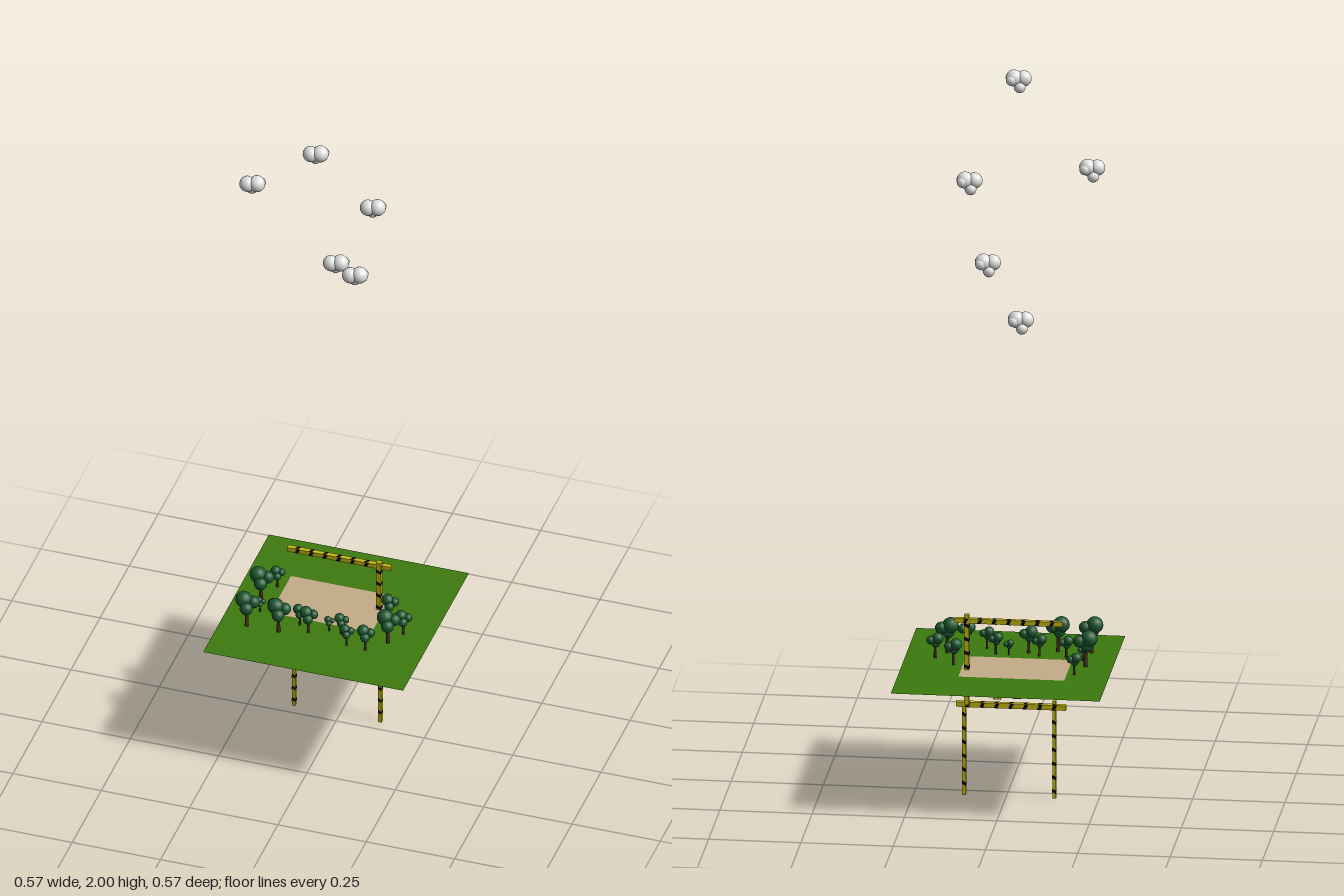
import * as THREE from 'three';

const mat = (name, color, side = THREE.FrontSide) => {
  const m = new THREE.MeshStandardMaterial({ color, side });
  m.name = name;
  return m;
};

export function createModel() {
  const model = new THREE.Group();
  model.name = 'floatingField';

  const grass = mat('grass green', 0x3c7a0e, THREE.DoubleSide);
  const sand = mat('sand', 0xc4ac8a, THREE.DoubleSide);
  const leaf = mat('leaf green', 0x1d5731);
  const bark = mat('bark brown', 0x46301a);
  const white = mat('cloud white', 0xe2e2e2);
  const yellow = mat('hazard yellow', 0xcabd12);
  const black = mat('hazard black', 0x0c0c0c, THREE.DoubleSide);
  const blue = mat('box blue', 0x6688cc);
  const grey = mat('pebble grey', 0x9a9a9a);

  const GROUND = 0.36;
  const add = (parent, name, geo, material, x = 0, y = 0, z = 0) => {
    const m = new THREE.Mesh(geo, material);
    m.name = name;
    m.position.set(x, y, z);
    parent.add(m);
    return m;
  };

  // Ground sheet and bare sand patch
  const flat = (w, d) => new THREE.PlaneGeometry(w, d).rotateX(-Math.PI / 2);
  add(model, 'lawn', flat(0.566, 0.566), grass, 0, GROUND, 0);
  add(model, 'sandPatch', flat(0.287, 0.177), sand, -0.0235, GROUND + 0.001, -0.0315);

  // Clusters of spheres, each lobe as [x, y, z, radius]
  const ball = new THREE.SphereGeometry(1, 14, 10);
  const cluster = (parent, name, lobes, material) => {
    for (const [x, y, z, r] of lobes) add(parent, name, ball, material, x, y, z).scale.setScalar(r);
  };

  // Trees: [x, z, crown radius]; everything scales with the crown
  const crown = [
    [-0.3, 2.45, -0.15, 0.7], [0.48, 2.25, -0.3, 0.52],
    [0.1, 2.0, 0.45, 0.54], [-0.1, 1.8, -0.1, 0.5],
  ];
  const trunk = new THREE.CylinderGeometry(0.12, 0.17, 2, 8);
  const trees = [
    [-0.187, -0.064, 0.02], [-0.209, 0.01, 0.033], [-0.196, 0.058, 0.014],
    [-0.148, 0.079, 0.02], [-0.21, 0.13, 0.033], [-0.12, 0.13, 0.032],
    [-0.075, 0.083, 0.02], [-0.043, 0.108, 0.025], [0.008, 0.084, 0.014],
    [0.044, 0.088, 0.02], [0.073, 0.132, 0.02], [0.128, 0.137, 0.024],
    [0.175, 0.086, 0.032], [0.202, 0.036, 0.023], [0.146, -0.018, 0.024],
  ];
  for (const [x, z, r] of trees) {
    const tree = new THREE.Group();
    tree.name = 'tree';
    add(tree, 'trunk', trunk, bark, 0, 1, 0);
    cluster(tree, 'crownLobe', crown, leaf);
    tree.position.set(x, GROUND, z);
    tree.scale.setScalar(r);
    model.add(tree);
  }

  // Clouds
  const puffs = [
    [-0.013, 0.005, 0.007, 0.022], [0.012, 0.007, 0.001, 0.023],
    [-0.004, -0.016, -0.007, 0.016], [0.018, 0.004, -0.011, 0.015],
  ];
  for (const [x, y, z] of [
    [-0.012, 1.97, 0.134], [-0.223, 1.757, 0.038], [0.104, 1.722, -0.005],
    [0.055, 1.49, 0], [-0.055, 1.388, -0.17],
  ]) {
    const cloud = new THREE.Group();
    cloud.name = 'cloud';
    cluster(cloud, 'cloudPuff', puffs, white);
    cloud.position.set(x, y, z);
    model.add(cloud);
  }

  // Beam along x with black slanted marks on its four long faces
  const beam = (name, length, t) => {
    const g = new THREE.Group();
    g.name = name;
    add(g, 'beamBody', new THREE.BoxGeometry(length, t, t), yellow);
    const h = t / 2, w = 0.006;
    const mark = new THREE.ShapeGeometry(new THREE.Shape([
      new THREE.Vector2(-w - 0.002, -h), new THREE.Vector2(w - 0.004, -h),
      new THREE.Vector2(w + 0.002, h), new THREE.Vector2(-w + 0.004, h),
    ]));
    mark.translate(0, 0, h + 0.0005);
    const n = Math.floor(length / 0.039);
    for (let i = 0; i < n; i++) {
      for (let f = 0; f < 4; f++) {
        const x = (i - (n - 1) / 2) * 0.039;
        add(g, 'hazardMark', mark, black, x).rotation.x = f * Math.PI / 2;
      }
    }
    model.add(g);
    return g;
  };
  const post = (name, x, y0, y1, z, t) => {
    const g = beam(name, y1 - y0, t);
    g.rotation.z = Math.PI / 2;
    g.position.set(x, (y0 + y1) / 2, z);
  };

  // Gantry: upper arm, mast, lower girder and two legs
  beam('upperArm', 0.293, 0.013).position.set(-0.009, 0.5, -0.057);
  beam('lowerGirder', 0.298, 0.014).position.set(-0.014, 0.259, -0.042);
  post('mast', 0.105, 0.262, 0.516, -0.053, 0.0135);
  post('leftLeg', 0.114, 0, 0.262, -0.036, 0.01);
  post('rightLeg', -0.13, 0, 0.275, -0.036, 0.01);

  // Boxes hanging under the ground
  add(model, 'blueBox', new THREE.BoxGeometry(0.025, 0.022, 0.025), blue, -0.03, 0.291, -0.035);
  for (const [x, y, z] of [[-0.055, 0.315, -0.047], [0.018, 0.302, -0.084]]) {
    add(model, 'yellowBox', new THREE.BoxGeometry(0.021, 0.021, 0.021), yellow, x, y, z);
    for (const [a, b, c] of [[0.0216, 0.01, 0.01], [0.01, 0.0216, 0.01], [0.01, 0.01, 0.0216]])
      add(model, 'boxPanel', new THREE.BoxGeometry(a, b, c), black, x, y, z);
  }

  // Pebbles under the ground
  for (const x of [-0.034, -0.018, 0.038, 0.066])
    add(model, 'pebble', new THREE.BoxGeometry(0.007, 0.004, 0.006), grey, x, 0.347, -0.02);

  return model;
}
